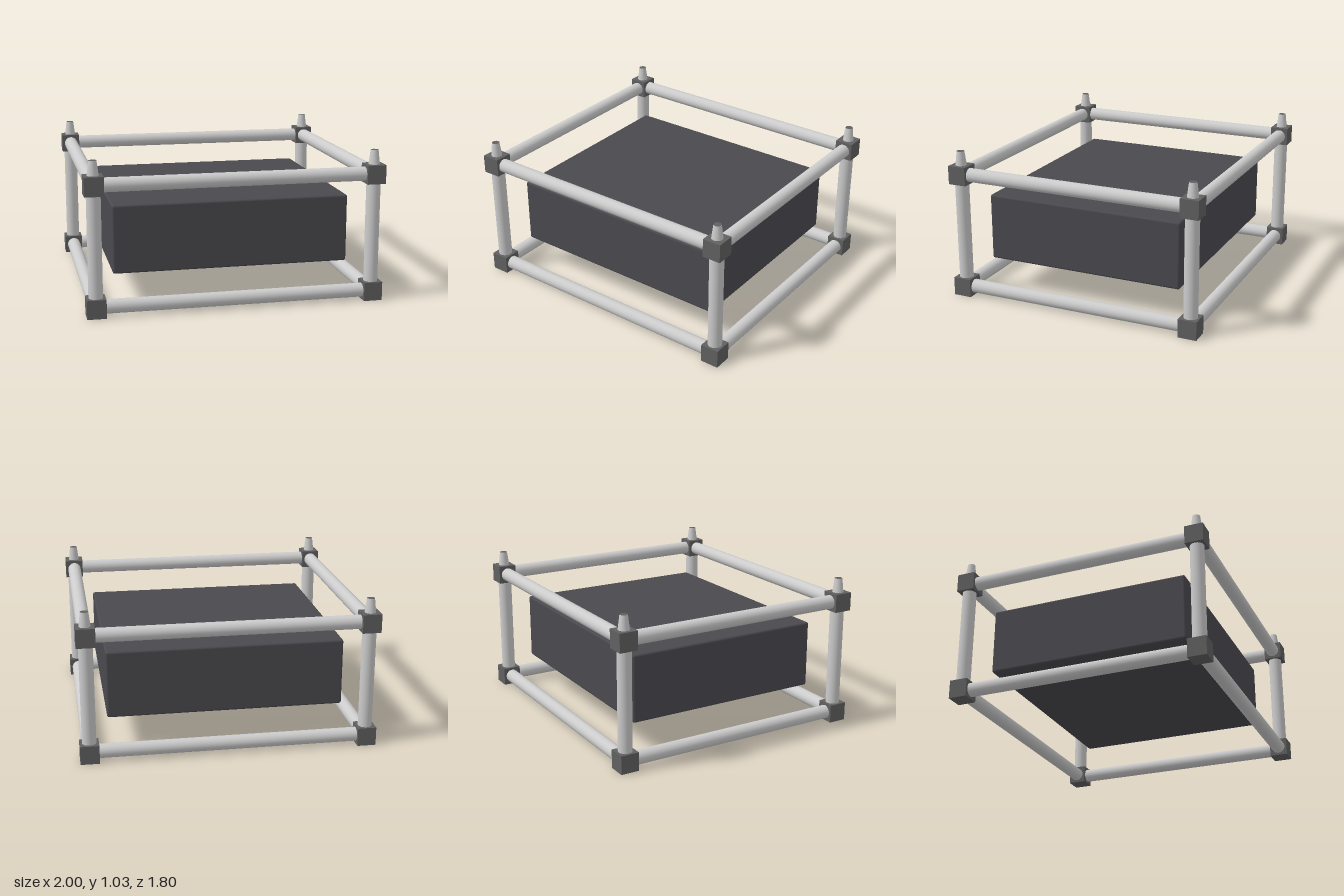
import * as THREE from 'three';
import { RoundedBoxGeometry } from 'three/addons/geometries/RoundedBoxGeometry.js';

export function createModel() {
  const model = new THREE.Group();
  const tube = new THREE.MeshStandardMaterial({ color: 0xcccccc });
  const dark = new THREE.MeshStandardMaterial({ color: 0x606060 });
  const body = new THREE.MeshStandardMaterial({ color: 0x4a494e });

  const S = 0.127;                 // corner block size
  const R = 0.0475;                // frame tube radius
  const X = 1 - S / 2, Z = 0.899 - S / 2;
  const Y0 = S / 2, Y1 = 0.933 - S / 2;

  const add = (name, geometry, material, x, y, z) => {
    const mesh = new THREE.Mesh(geometry, material);
    mesh.name = name;
    mesh.position.set(x, y, z);
    model.add(mesh);
    return mesh;
  };
  const rod = (length) => new THREE.CylinderGeometry(R, R, length - S * 0.9, 32);

  // central block floating inside the frame
  add('centralBlock', new RoundedBoxGeometry(1.61, 0.464, 1.402, 3, 0.015), body, 0, 0.468, 0);

  const block = new THREE.BoxGeometry(S, S, S);
  const peg = new THREE.CylinderGeometry(0.026, 0.038, 0.097, 32);
  const rodX = rod(2 * X).rotateZ(Math.PI / 2);
  const rodZ = rod(2 * Z).rotateX(Math.PI / 2);
  const rodY = rod(Y1 - Y0);

  // horizontal rails, lower and upper
  for (const y of [Y0, Y1]) {
    for (const s of [-1, 1]) {
      add('crossRail', rodX, tube, 0, y, s * Z);
      add('sideRail', rodZ, tube, s * X, y, 0);
    }
  }

  // corner posts with blocks and tapered stacking pegs
  for (const x of [-X, X]) {
    for (const z of [-Z, Z]) {
      add('cornerPost', rodY, tube, x, (Y0 + Y1) / 2, z);
      add('lowerCornerBlock', block, dark, x, Y0, z);
      add('upperCornerBlock', block, dark, x, Y1, z);
      add('stackingPeg', peg, [tube, dark, dark], x, Y1 + S / 2 + 0.0485, z);
    }
  }
  return model;
}
